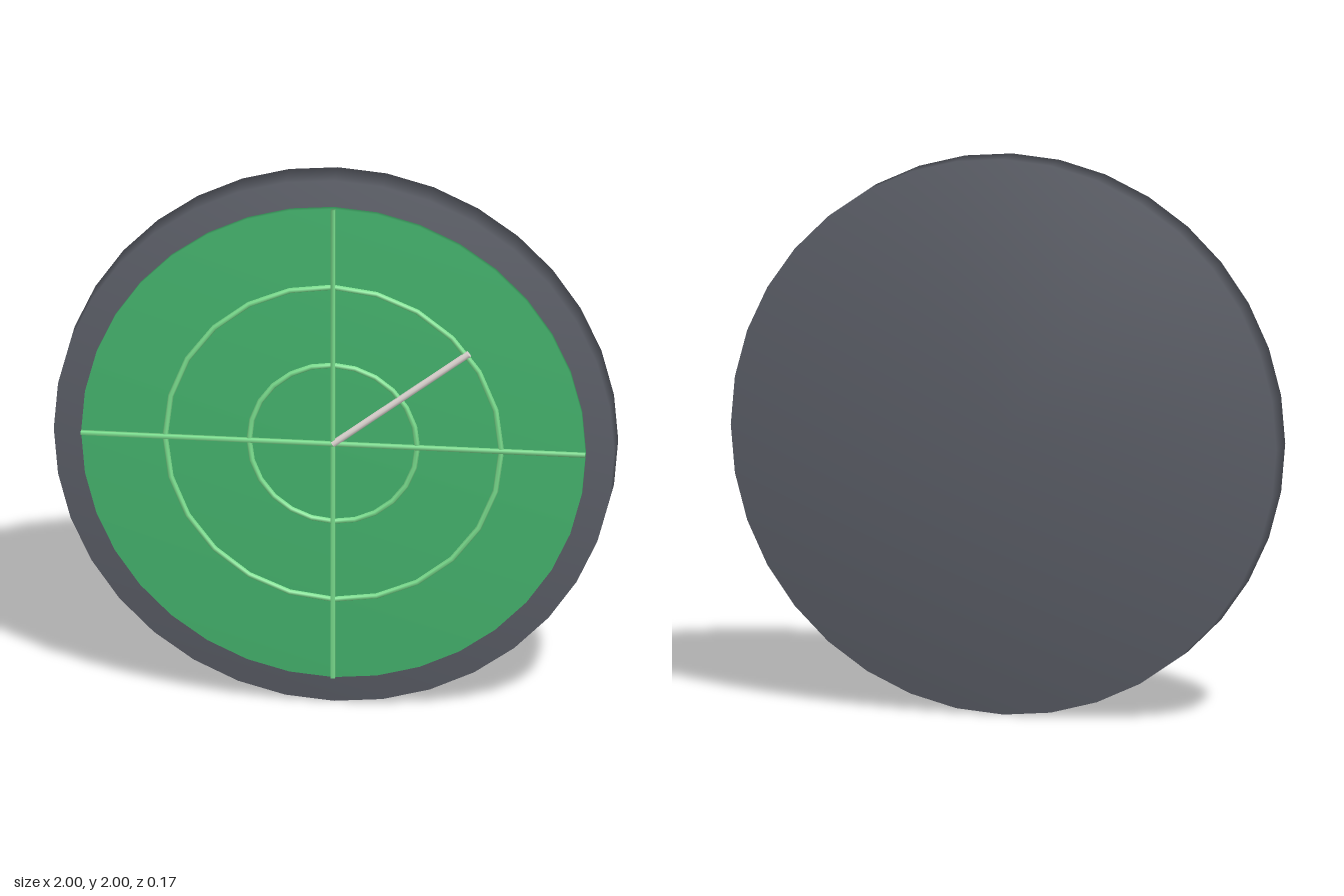
import * as THREE from 'three';
import { mergeVertices } from 'three/addons/utils/BufferGeometryUtils.js';

const material = (color) => new THREE.MeshStandardMaterial({ color });

// Weld corners so the shading runs softly over the rims
function soften(geometry) {
  geometry.deleteAttribute('normal');
  geometry.deleteAttribute('uv');
  const welded = mergeVertices(geometry, 1e-4);
  welded.computeVertexNormals();
  return welded;
}

// Disc facing +z between two depths
function disc(radius, back, front, sides) {
  const g = new THREE.CylinderGeometry(radius, radius, front - back, sides);
  g.rotateX(Math.PI / 2);
  g.translate(0, 0, (front + back) / 2);
  return soften(g);
}

export function createModel() {
  const model = new THREE.Group();
  model.name = 'radarScreen';
  const dark = material(0x5a5d66);
  const green = material(0x43b06b);
  const lightGreen = material(0x7be08f);
  const pale = material(0xe0d8d4);

  const add = (name, geometry, mat, z = 0) => {
    const mesh = new THREE.Mesh(geometry, mat);
    mesh.name = name;
    mesh.position.set(0, 1, z);
    model.add(mesh);
    return mesh;
  };

  // Housing and display
  add('housing', disc(1, -0.083, 0.042, 36), dark);
  add('display', disc(0.9, 0.03, 0.063, 36), green);

  // Range rings
  for (const [name, r] of [['innerRing', 0.3], ['outerRing', 0.6]]) {
    add(name, new THREE.TorusGeometry(r, 0.01, 6, 24), lightGreen, 0.064);
  }

  // Cross lines
  add('horizontalLine', soften(new THREE.BoxGeometry(1.8, 0.015, 0.015)), lightGreen, 0.069);
  add('verticalLine', soften(new THREE.BoxGeometry(0.015, 1.8, 0.015)), lightGreen, 0.069);

  // Sweep hand, from the centre towards upper left of the model
  const hand = new THREE.CylinderGeometry(0.0125, 0.0125, 0.61, 8);
  hand.translate(0, 0.305, 0);
  const sweep = add('sweepHand', hand, pale, 0.071);
  sweep.rotation.z = -Math.atan2(0.485, 0.37);

  return model;
}
